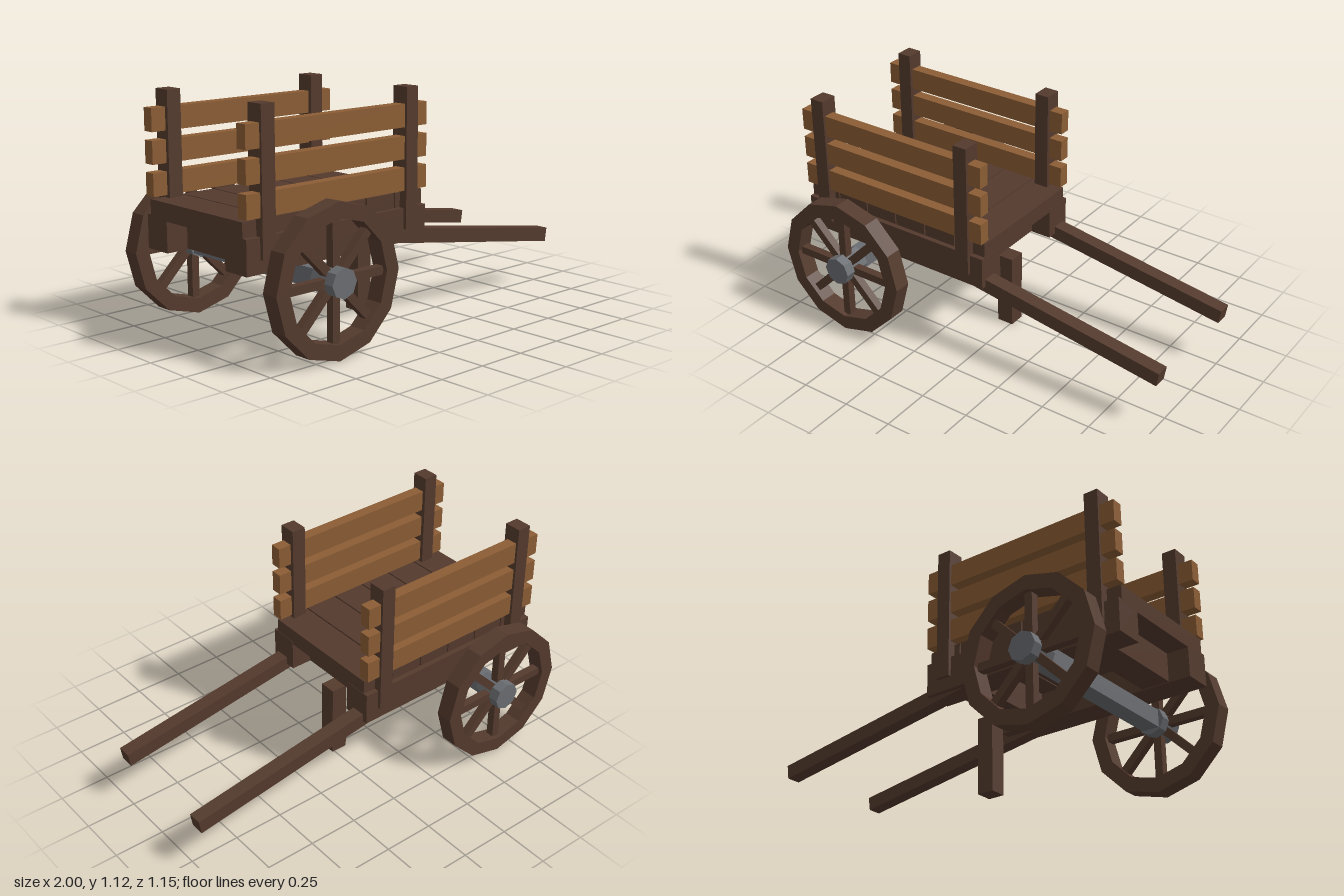
import * as THREE from 'three';

export function createModel() {
  const cart = new THREE.Group();
  cart.name = 'handCart';

  const material = (name, color) => {
    const m = new THREE.MeshStandardMaterial({ color, flatShading: true });
    m.name = name;
    return m;
  };
  const darkWood = material('darkWood', 0x543a2d);
  const lightWood = material('lightWood', 0x8b5d34);
  const iron = material('iron', 0x6a6d71);

  const add = (parent, name, geometry, mat) => {
    const mesh = new THREE.Mesh(geometry, mat);
    mesh.name = name;
    parent.add(mesh);
    return mesh;
  };
  // Box given by its extents on each axis
  const box = (name, [x0, x1], [y0, y1], [z0, z1], mat) => {
    const mesh = add(cart, name, new THREE.BoxGeometry(x1 - x0, y1 - y0, z1 - z0), mat);
    mesh.position.set((x0 + x1) / 2, (y0 + y1) / 2, (z0 + z1) / 2);
    return mesh;
  };

  // Floor planks with narrow gaps
  const pitch = 0.1775;
  for (let i = 0; i < 6; i++) {
    const x = -1 + i * pitch;
    box('floorPlank', [x, x + 0.1705], [0.545, 0.63], [-0.33, 0.33], darkWood);
  }

  // Cross beams under the floor, front leg and axle
  for (const x of [-0.82, -0.115]) {
    box('crossBeam', [x - 0.07, x + 0.07], [0.405, 0.545], [-0.22, 0.22], darkWood);
  }
  box('frontLeg', [-0.075, 0.01], [0, 0.38], [-0.042, 0.042], darkWood);
  box('axle', [-0.695, -0.607], [0.309, 0.397], [-0.45, 0.45], iron);

  // Twelve-sided rim outline with corners on the axes
  const polygon = (Type, radius) => new Type(Array.from({ length: 12 }, (_, i) => {
    const a = i * Math.PI / 6;
    return new THREE.Vector2(Math.cos(a) * radius, Math.sin(a) * radius);
  }));
  const rimShape = polygon(THREE.Shape, 0.35);
  rimShape.holes.push(polygon(THREE.Path, 0.278));
  const rimGeometry = new THREE.ExtrudeGeometry(rimShape, { depth: 0.086, bevelEnabled: false });
  rimGeometry.translate(0, 0, -0.043);
  const hubGeometry = new THREE.CylinderGeometry(0.07, 0.07, 0.145, 8).rotateX(Math.PI / 2);
  const spokeGeometry = new THREE.BoxGeometry(0.25, 0.04, 0.04).translate(0.155, 0, 0);

  for (const side of [-1, 1]) {
    const span = (a, b) => (side > 0 ? [a, b] : [-b, -a]);

    // Side rail
    box('sideRail', [-1, 0.06], [0.4, 0.56], span(0.21, 0.355), darkWood);

    // Posts and slats of the side fence
    for (const x of [-0.89, -0.045]) {
      box('fencePost', [x - 0.036, x + 0.036], [0.462, 1.12], span(0.285, 0.372), darkWood);
    }
    for (const y of [0.642, 0.788, 0.935]) {
      box('fenceSlat', [-1, 0.06], [y, y + 0.107], span(0.303, 0.36), lightWood);
    }

    // Sloping pull handle
    const handle = add(cart, 'pullHandle', new THREE.BoxGeometry(1.22, 0.07, 0.07).translate(-0.61, 0, 0), darkWood);
    handle.position.set(0.992, 0.26, side * 0.295);
    handle.rotation.z = -0.153;

    // Wheel
    const wheel = new THREE.Group();
    wheel.name = side > 0 ? 'leftWheel' : 'rightWheel';
    wheel.position.set(-0.651, 0.352, side * 0.503);
    add(wheel, 'rim', rimGeometry, darkWood);
    add(wheel, 'hub', hubGeometry, iron);
    for (let i = 0; i < 8; i++) {
      add(wheel, 'spoke', spokeGeometry, darkWood).rotation.z = i * Math.PI / 4;
    }
    cart.add(wheel);
  }

  return cart;
}
